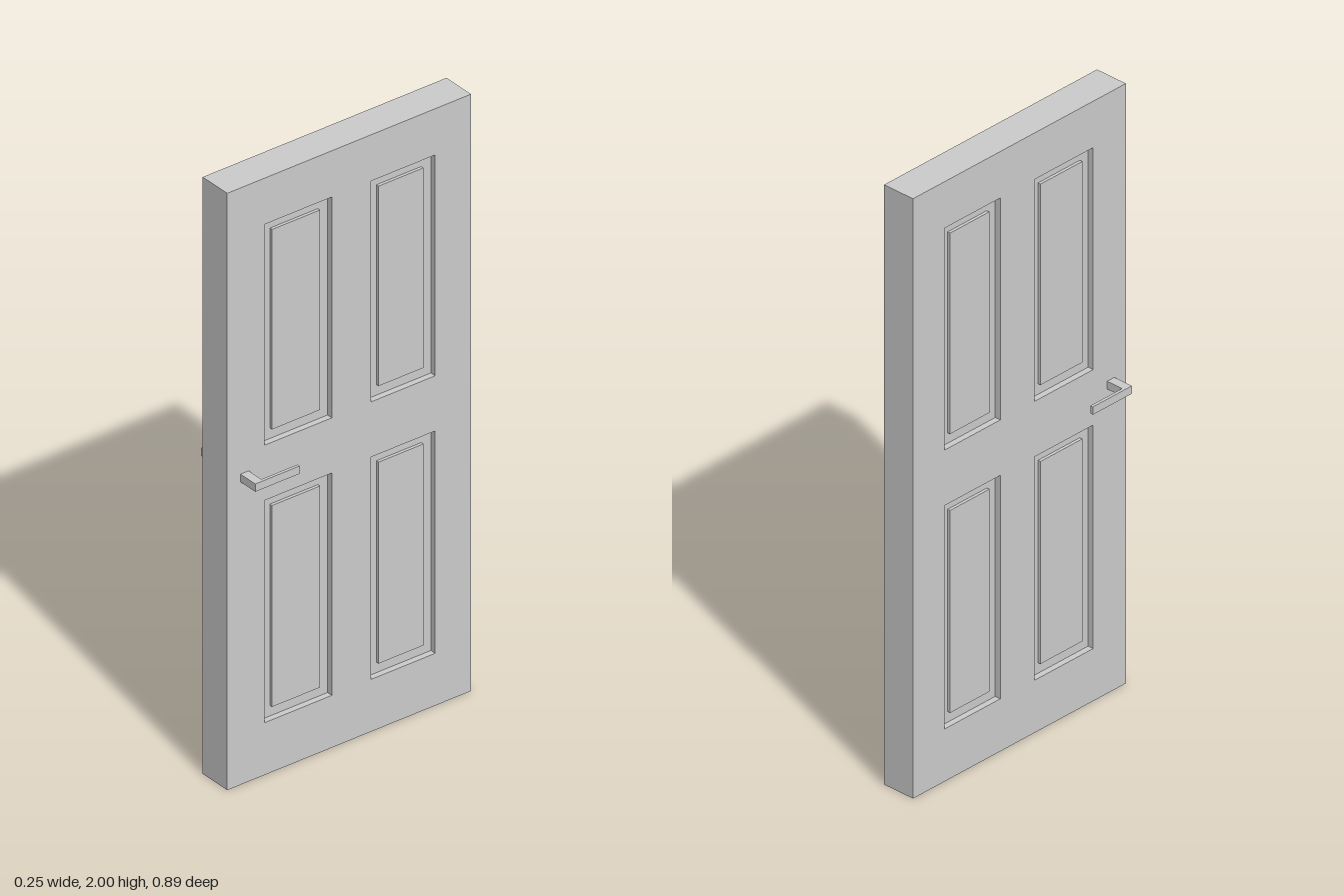
import * as THREE from 'three';

const HALF_T = 0.057;   // half thickness of the door
const HALF_W = 0.443;   // half width of the door
const RECESS = 0.02;    // depth of the moulding groove
const FIELD = 0.01;     // depth of the raised field below the door face
const INSET = 0.035;    // width of the groove

// Panel openings: every column (z range) crossed with every row (y range)
const COLUMNS = [[0.063, 0.307], [-0.313, -0.08]];
const ROWS = [[0.175, 0.92], [1.105, 1.845]];

const material = new THREE.MeshStandardMaterial({ color: 0xcccccc, flatShading: true });

// Box given by its minimum and maximum on each axis
function box(name, [x0, x1], [y0, y1], [z0, z1]) {
  const geometry = new THREE.BoxGeometry(x1 - x0, y1 - y0, z1 - z0);
  geometry.translate((x0 + x1) / 2, (y0 + y1) / 2, (z0 + z1) / 2);
  const mesh = new THREE.Mesh(geometry, material);
  mesh.name = name;
  return mesh;
}

function rectangle(path, [u0, u1], [v0, v1]) {
  path.moveTo(u0, v0);
  path.lineTo(u1, v0);
  path.lineTo(u1, v1);
  path.lineTo(u0, v1);
  path.closePath();
  return path;
}

// Stiles and rails: one slab pierced by the four openings
function doorFrame() {
  const outline = rectangle(new THREE.Shape(), [-HALF_W, HALF_W], [0, 2]);
  for (const [z0, z1] of COLUMNS) {
    for (const row of ROWS) {
      outline.holes.push(rectangle(new THREE.Path(), [-z1, -z0], row));
    }
  }
  const geometry = new THREE.ExtrudeGeometry(outline, { depth: 2 * HALF_T, bevelEnabled: false });
  geometry.translate(0, 0, -HALF_T);
  geometry.rotateY(Math.PI / 2);
  const mesh = new THREE.Mesh(geometry, material);
  mesh.name = 'doorFrame';
  return mesh;
}

// Groove floor plus a raised field that shows on both faces
function panel(column, row) {
  const group = new THREE.Group();
  group.name = 'panel';
  const floor = HALF_T - RECESS;
  const field = HALF_T - FIELD;
  const shrink = ([a, b]) => [a + INSET, b - INSET];
  group.add(box('panelFloor', [-floor, floor], row, column));
  for (const range of [[floor, field], [-field, -floor]]) {
    group.add(box('raisedField', range, shrink(row), shrink(column)));
  }
  return group;
}

// L-shaped lever handle on one face
function handle(side) {
  const group = new THREE.Group();
  group.name = side > 0 ? 'leftHandle' : 'rightHandle';
  const span = (a, b) => (side > 0 ? [a, b] : [-b, -a]);
  const height = [1.015, 1.041];
  group.add(box('handlePost', span(HALF_T, 0.126), height, [0.365, 0.395]));
  group.add(box('handleLever', span(0.116, 0.126), height, [0.233, 0.365]));
  return group;
}

export function createModel() {
  const model = new THREE.Group();
  model.name = 'panelDoor';
  model.add(doorFrame());
  for (const column of COLUMNS) {
    for (const row of ROWS) model.add(panel(column, row));
  }
  for (const side of [1, -1]) model.add(handle(side));
  return model;
}
